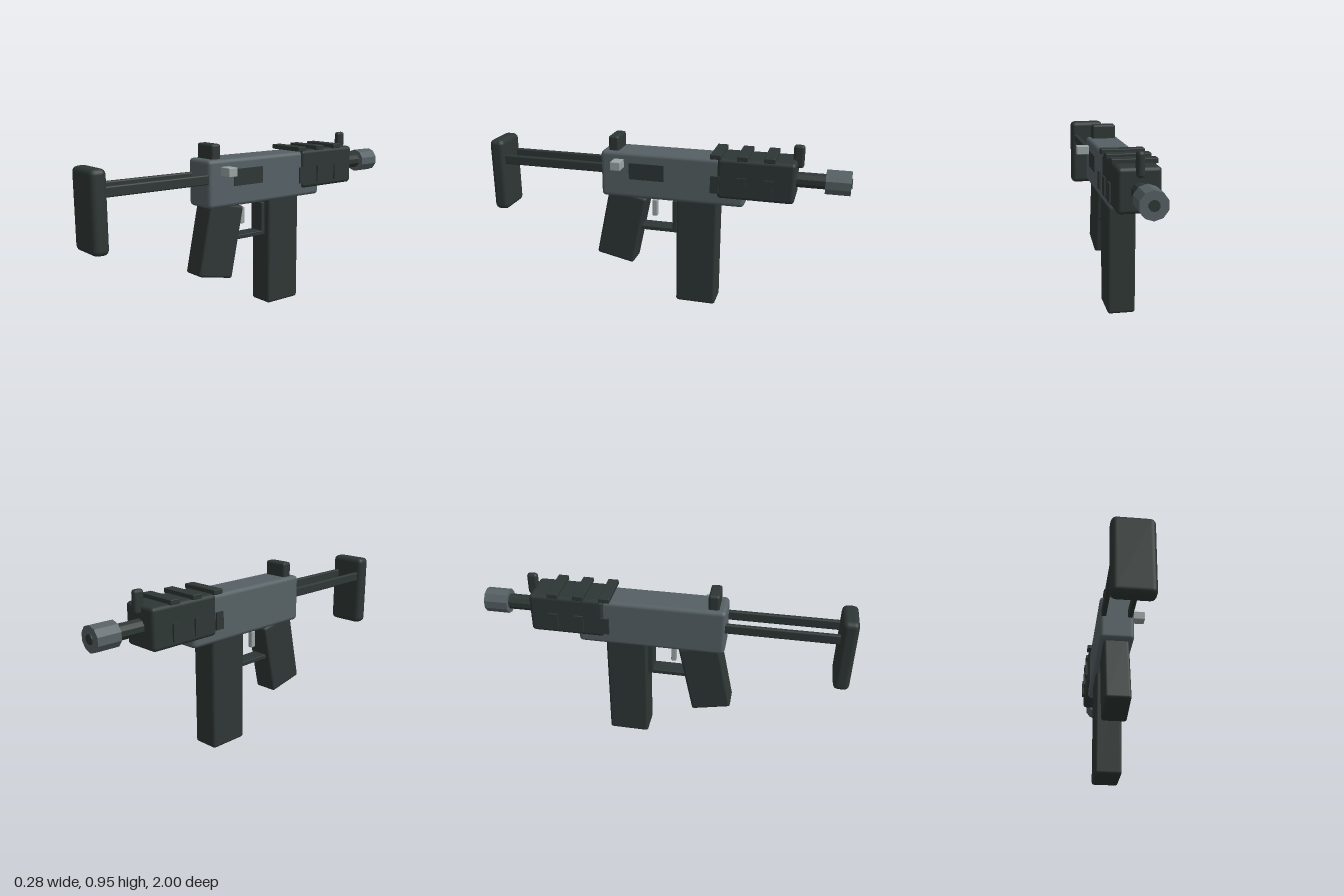
import * as THREE from 'three';
import { RoundedBoxGeometry } from 'three/addons/geometries/RoundedBoxGeometry.js';

const CX = -0.022; // centre line of the body

export function createModel() {
  const model = new THREE.Group();
  const mat = (name, color, flatShading = false) => {
    const m = new THREE.MeshStandardMaterial({ color, flatShading });
    m.name = name;
    return m;
  };
  const dark = mat('dark polymer', 0x2e3735);
  const steel = mat('grey steel', 0x566165);
  const light = mat('light metal', 0x9aa5a3);

  const add = (name, geometry, material, x, y, z) => {
    const mesh = new THREE.Mesh(geometry, material);
    mesh.name = name;
    mesh.position.set(x, y, z);
    model.add(mesh);
    return mesh;
  };
  // box given by its extents, with rounded edges when r > 0
  const box = (name, material, [x0, x1], [y0, y1], [z0, z1], r = 0) => {
    const s = [x1 - x0, y1 - y0, z1 - z0];
    const g = r ? new RoundedBoxGeometry(...s, 2, r) : new THREE.BoxGeometry(...s);
    return add(name, g, material, (x0 + x1) / 2, (y0 + y1) / 2, (z0 + z1) / 2);
  };
  const wide = (w) => [CX - w / 2, CX + w / 2];
  // ten-sided cylinder lying along z, with faceted sides
  const tube = (name, material, r, z0, z1) => {
    const g = new THREE.CylinderGeometry(r, r, z1 - z0, 10).toNonIndexed();
    g.computeVertexNormals();
    g.rotateX(Math.PI / 2);
    return add(name, g, material, CX, 0.761, (z0 + z1) / 2);
  };

  // main body
  box('receiver', steel, wide(0.186), [0.605, 0.862], [-0.458, 0.335], 0.022);
  box('handguard', dark, wide(0.21), [0.652, 0.87], [-0.718, -0.312], 0.02);
  box('magazine', dark, wide(0.149), [0, 0.65], [-0.313, -0.088], 0.015);

  // top rails and side slats
  for (const z of [-0.304, -0.444, -0.584]) {
    box('topRail', dark, wide(0.224), [0.866, 0.892], [z - 0.029, z + 0.029], 0.004);
    for (const side of [-1, 1]) {
      const x = CX + side * 0.117;
      box('sideSlat', dark, [x - 0.005, x + 0.005], [0.685, 0.777], [z - 0.024, z + 0.024]);
    }
  }

  // barrel and muzzle
  tube('barrel', dark, 0.042, -0.88, -0.68);
  tube('muzzle', steel, 0.067, -0.995, -0.866);
  tube('bore', dark, 0.026, -1, -0.98);

  // sights
  box('frontSight', dark, wide(0.036), [0.825, 0.947], [-0.75, -0.692], 0.016);
  box('rearSight', dark, wide(0.136), [0.84, 0.941], [0.237, 0.296], 0.014);

  // slanted grip
  const grip = add('grip', new RoundedBoxGeometry(0.136, 0.405, 0.22, 2, 0.015), dark, CX, 0.419, 0.234);
  grip.rotation.x = -0.208;

  // trigger and its guard
  box('trigger', light, wide(0.03), [0.482, 0.577], [0.037, 0.066], 0.006);
  box('guardBottom', dark, wide(0.09), [0.406, 0.43], [-0.085, 0.13], 0.004);
  box('guardFront', dark, wide(0.09), [0.41, 0.592], [-0.085, -0.059], 0.004);

  // side panel and charging handle on the left side
  box('sidePanel', dark, [0.069, 0.077], [0.715, 0.805], [-0.022, 0.173]);
  box('chargingHandle', light, [0.066, 0.141], [0.776, 0.824], [0.202, 0.258], 0.004);

  // stock rods and shoulder plate
  for (const side of [-1, 1]) {
    const x = CX + side * 0.071;
    box('stockRod', dark, [x - 0.013, x + 0.013], [0.735, 0.788], [0.3, 0.93], 0.008);
  }
  box('shoulderPlate', dark, wide(0.21), [0.462, 0.875], [0.915, 1], 0.028);

  return model;
}
